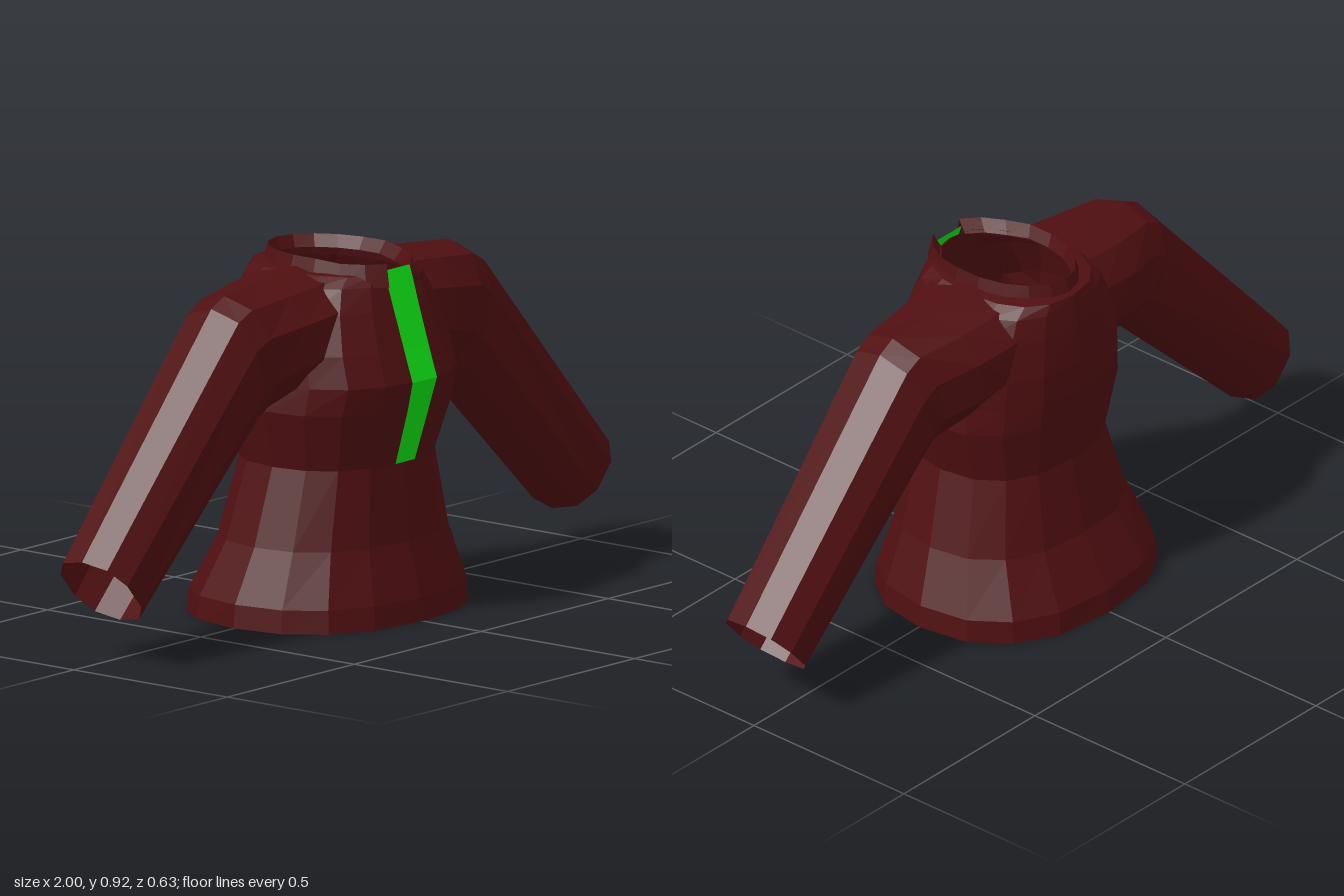
import * as THREE from 'three';

const red = new THREE.MeshStandardMaterial({ color: 0x500f11, flatShading: true, side: THREE.DoubleSide });
red.name = 'dark red cloth';
const green = new THREE.MeshStandardMaterial({ color: 0x10e814, flatShading: true, side: THREE.DoubleSide });
green.name = 'bright green trim';

// Signed power, squares off an ellipse a little
const sp = (v, e) => Math.sign(v) * Math.abs(v) ** e;

// Faceted skin through a list of equally long point rings
function loft(rings, flip = false) {
  const pos = [];
  const tri = (a, b, c) => (flip ? [a, c, b] : [a, b, c]).forEach((p) => pos.push(...p));
  for (let r = 0; r + 1 < rings.length; r++) {
    const lo = rings[r], hi = rings[r + 1];
    for (let i = 0; i + 1 < lo.length; i++) {
      tri(lo[i], lo[i + 1], hi[i + 1]);
      tri(lo[i], hi[i + 1], hi[i]);
    }
  }
  const g = new THREE.BufferGeometry();
  g.setAttribute('position', new THREE.Float32BufferAttribute(pos, 3));
  g.computeVertexNormals();
  return g;
}

// Horizontal ring: height, half width, front z, back z; the gap is left open at the front
function bodyRing([y, w, zf, zb], e = 0.85, gap = 0, n = 16) {
  const c = (zf + zb) / 2, d = (zf - zb) / 2;
  return Array.from({ length: n + 1 }, (_, i) => {
    const a = gap + (i / n) * (Math.PI * 2 - 2 * gap);
    return [w * sp(Math.sin(a), e), y, c + d * sp(Math.cos(a), e)];
  });
}

// Sleeve ring: top point, bottom point, front z, back z
function sleeveRing([tx, ty, bx, by, zf, zb], side, n = 10) {
  const c = (zf + zb) / 2, d = (zf - zb) / 2;
  return Array.from({ length: n + 1 }, (_, i) => {
    const a = (i / n) * Math.PI * 2;
    const k = (1 + sp(Math.cos(a), 0.85)) / 2;
    return [side * (bx + (tx - bx) * k), by + (ty - by) * k, c + d * sp(Math.sin(a), 0.85)];
  });
}

export function createModel() {
  const group = new THREE.Group();
  group.name = 'jacket';
  const add = (name, geo, mat) => {
    const m = new THREE.Mesh(geo, mat);
    m.name = name;
    group.add(m);
  };

  // Torso, open at hem and neck
  const torso = [
    [0, 0.37, 0.31, -0.312], [0.06, 0.365, 0.304, -0.305], [0.2, 0.31, 0.264, -0.23],
    [0.4, 0.255, 0.247, -0.188], [0.55, 0.295, 0.293, -0.212], [0.62, 0.287, 0.312, -0.22],
    [0.7, 0.28, 0.285, -0.218], [0.8, 0.25, 0.252, -0.207], [0.86, 0.215, 0.232, -0.198],
    [0.885, 0.17, 0.222, -0.193], [0.892, 0.126, 0.212, -0.156],
  ];
  add('torso', loft(torso.map((r) => bodyRing(r))), red);

  // Standing collar, split at the front
  const collar = [
    [0.865, 0.155, 0.26, -0.185], [0.922, 0.14, 0.246, -0.167], [0.89, 0.125, 0.22, -0.154],
  ].map((r) => bodyRing(r, 1, 0.36));
  // The front edge of the collar sits slightly lower
  collar.forEach((ring) => ring.forEach((p) => { if (p[2] > 0.1) p[1] -= 0.007; }));
  add('collar', loft(collar), red);

  // Sleeves, from inside the shoulder to the open cuff
  const sleeve = [
    [0.14, 0.897, 0.2, 0.62, 0.2, -0.165],
    [0.3, 0.882, 0.28, 0.59, 0.182, -0.145],
    [0.44, 0.87, 0.365, 0.56, 0.162, -0.108],
    [0.49, 0.845, 0.4, 0.535, 0.157, -0.106],
    [1, 0.28, 0.85, 0.107, 0.14, -0.087],
  ];
  for (const side of [1, -1]) {
    const rings = sleeve.map((r) => sleeveRing(r, side));
    add(side > 0 ? 'leftSleeve' : 'rightSleeve', loft(rings, side < 0), red);
  }

  // Front strip from neck to waist, lying on the torso
  const strip = [
    [0.402, 0.038, 0.252], [0.55, 0.043, 0.297], [0.62, 0.048, 0.316],
    [0.7, 0.048, 0.289], [0.8, 0.049, 0.256], [0.86, 0.05, 0.237], [0.897, 0.05, 0.225],
  ].map(([y, w, z]) => [[-w, y, z], [w, y, z]]);
  add('frontStrip', loft(strip), green);

  return group;
}
